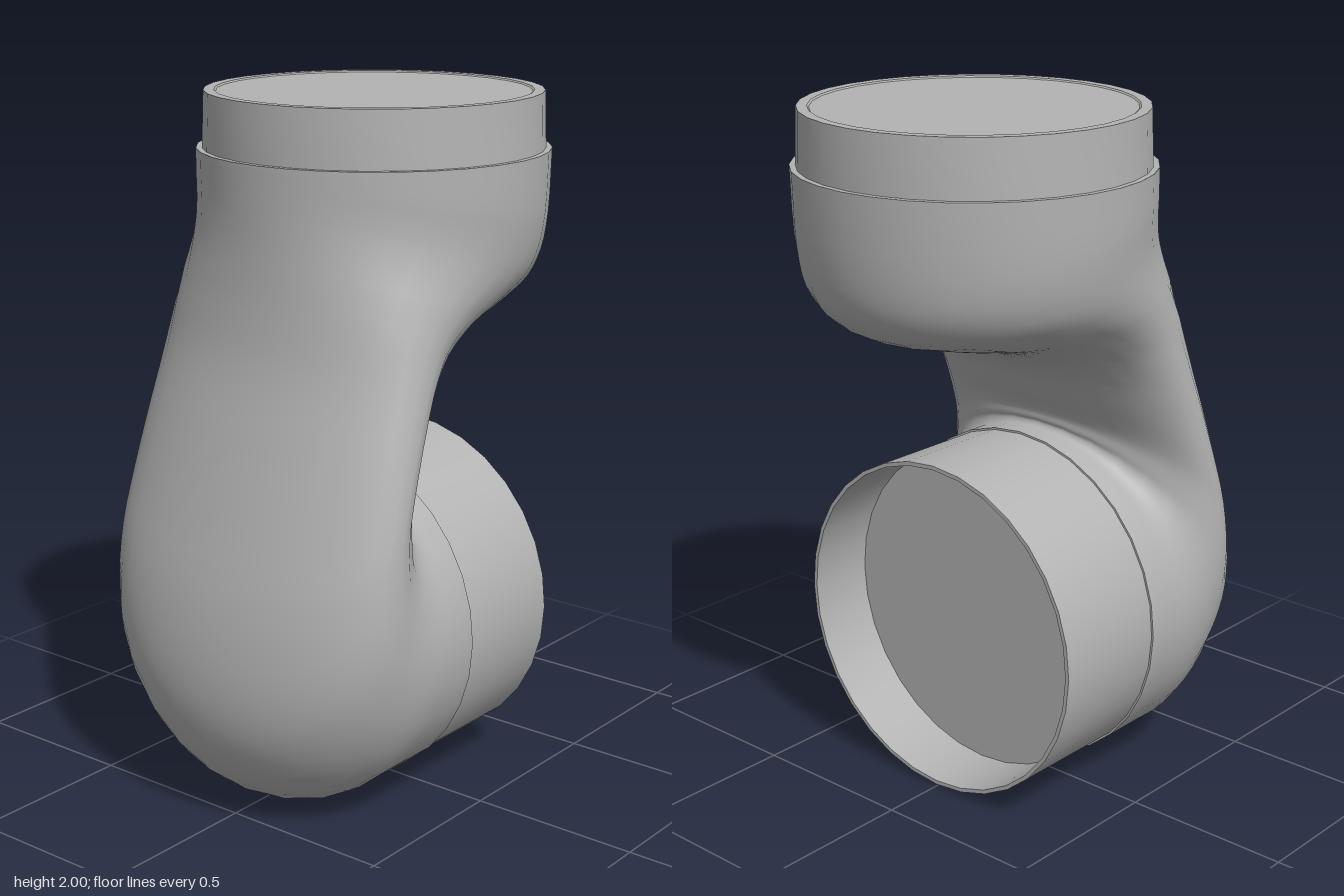
import * as THREE from 'three';
import { toCreasedNormals } from 'three/addons/utils/BufferGeometryUtils.js';

const SIDES = 32;

// Curved shell: oval rings spanned between an outer and an inner profile line
function shellGeometry(sections, rings) {
  const line = (a, b) => new THREE.CatmullRomCurve3(
    sections.map(s => new THREE.Vector3(s[4], s[a], s[b])));
  const outer = line(1, 0), inner = line(3, 2);
  const positions = [], index = [];
  for (let i = 0; i <= rings; i++) {
    const f = outer.getPoint(i / rings), b = inner.getPoint(i / rings);
    for (let j = 0; j < SIDES; j++) {
      const t = (j / SIDES) * Math.PI * 2, k = (1 + Math.cos(t)) / 2;
      positions.push(f.x * Math.sin(t), b.y + (f.y - b.y) * k, b.z + (f.z - b.z) * k);
      if (i < rings) {
        const p = i * SIDES + j, q = i * SIDES + (j + 1) % SIDES;
        index.push(p, q, p + SIDES, q, q + SIDES, p + SIDES);
      }
    }
  }
  const g = new THREE.BufferGeometry();
  g.setAttribute('position', new THREE.Float32BufferAttribute(positions, 3));
  g.setIndex(index);
  g.computeVertexNormals();
  return g;
}

// Turned collar from [radius, height] points
function collarGeometry(profile) {
  const g = new THREE.LatheGeometry(profile.map(p => new THREE.Vector2(...p)), SIDES);
  return toCreasedNormals(g, Math.PI / 5);
}

export function createModel() {
  const group = new THREE.Group();
  const grey = new THREE.MeshStandardMaterial({ color: 0xb3b3b3, side: THREE.DoubleSide });
  grey.name = 'grey';
  const add = (name, geometry) => {
    const mesh = new THREE.Mesh(geometry, grey);
    mesh.name = name;
    group.add(mesh);
    return mesh;
  };

  // S-shaped body, from the rear opening to the top opening:
  // outer z, outer y, inner z, inner y, half width
  add('body', shellGeometry([
    [0.06, 0.005, 0.06, 1.015, 0.505],
    [0.2, 0.007, 0.1, 1.015, 0.505],
    [0.35, 0.012, 0.12, 1.015, 0.503],
    [0.5, 0.1, 0.13, 1.02, 0.5],
    [0.6, 0.25, 0.135, 1.03, 0.5],
    [0.633, 0.42, 0.13, 1.04, 0.497],
    [0.61, 0.65, 0.13, 1.06, 0.49],
    [0.55, 0.87, 0.115, 1.09, 0.482],
    [0.48, 1.1, 0.085, 1.13, 0.472],
    [0.42, 1.3, 0.03, 1.21, 0.462],
    [0.395, 1.45, -0.06, 1.28, 0.457],
    [0.385, 1.55, -0.2, 1.335, 0.462],
    [0.38, 1.63, -0.38, 1.375, 0.472],
    [0.378, 1.7, -0.53, 1.425, 0.483],
    [0.377, 1.75, -0.595, 1.5, 0.492],
    [0.376, 1.79, -0.622, 1.62, 0.5],
    [0.375, 1.84, -0.632, 1.84, 0.503],
  ], 48));

  // Top collar with its lip and closed end
  add('topCollar', collarGeometry([
    [0.503, 1.84], [0.486, 1.84], [0.48, 2], [0.45, 2], [0.445, 1.996], [0, 1.996],
  ])).position.z = -0.129;

  // Rear collar, open with a recessed end plate
  const rear = add('rearCollar', collarGeometry([
    [0.505, -0.06], [0.499, -0.06], [0.5, 0.31], [0.488, 0.31], [0.485, 0.11], [0, 0.11],
  ]));
  rear.rotation.x = -Math.PI / 2;
  rear.position.y = 0.51;

  return group;
}
